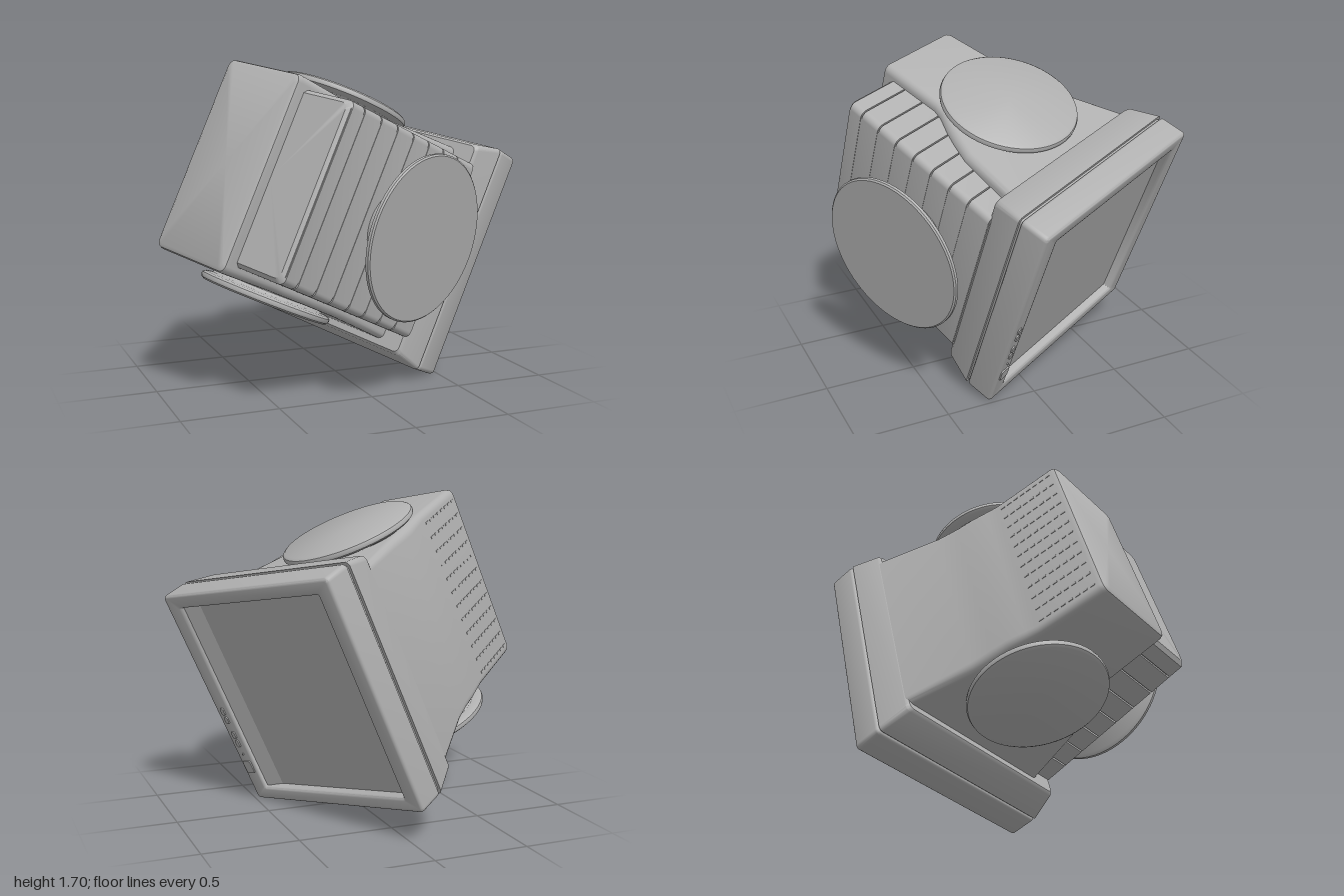
import * as THREE from 'three';
import { mergeGeometries, toCreasedNormals } from 'three/addons/utils/BufferGeometryUtils.js';

const CREASE = 0.6;

// Counter-clockwise outline of a rounded rectangle
function roundedRing(hx, yb, yt, r, steps = 5) {
  const pts = [];
  const corners = [[hx - r, yt - r], [-hx + r, yt - r], [-hx + r, yb + r], [hx - r, yb + r]];
  corners.forEach(([cx, cy], k) => {
    for (let i = 0; i <= steps; i++) {
      const a = (k + i / steps) * Math.PI / 2;
      pts.push([cx + r * Math.cos(a), cy + r * Math.sin(a)]);
    }
  });
  return pts;
}

// Closed skin over sections [z, halfWidth, yBottom, yTop, radius], ordered by rising z
function loft(sections) {
  const pos = [], idx = [];
  let n = 0;
  for (const [z, hx, yb, yt, r] of sections) {
    const ring = roundedRing(hx, yb, yt, r);
    n = ring.length;
    ring.forEach(([x, y]) => pos.push(x, y, z));
  }
  const last = sections.length - 1;
  for (let i = 0; i < last; i++) {
    for (let j = 0; j < n; j++) {
      const k = (j + 1) % n, a = i * n + j, b = i * n + k;
      idx.push(a, b, b + n, a, b + n, a + n);
    }
  }
  const back = pos.length / 3, front = back + 1;
  for (const s of [sections[0], sections[last]]) pos.push(0, (s[2] + s[3]) / 2, s[0]);
  for (let j = 0; j < n; j++) {
    const k = (j + 1) % n;
    idx.push(back, k, j, front, last * n + j, last * n + k);
  }
  const g = new THREE.BufferGeometry();
  g.setAttribute('position', new THREE.Float32BufferAttribute(pos, 3));
  g.setIndex(idx);
  return toCreasedNormals(g, CREASE);
}

const lathe = (pts) =>
  toCreasedNormals(new THREE.LatheGeometry(pts.map(([x, y]) => new THREE.Vector2(x, y)), 72), CREASE);

const toPath = (ring, PathType) => new PathType(ring.map(([x, y]) => new THREE.Vector2(x, y)));

export function createModel() {
  const grey = new THREE.MeshStandardMaterial({ color: 0xb0b0b0 });
  grey.name = 'grey plastic';
  const model = new THREE.Group();
  model.name = 'monitor';
  const add = (name, geometry) => {
    const mesh = new THREE.Mesh(geometry, grey);
    mesh.name = name;
    model.add(mesh);
    return mesh;
  };

  // Front frame with a window
  const frame = toPath(roundedRing(0.64, -0.603, 0.603, 0.025), THREE.Shape);
  frame.holes.push(toPath(roundedRing(0.56, -0.497, 0.506, 0.006).reverse(), THREE.Path));
  const bevel = 0.016;
  const frameGeo = new THREE.ExtrudeGeometry(frame, {
    depth: 0.155 - 2 * bevel, bevelSize: bevel, bevelThickness: bevel, bevelOffset: -bevel, bevelSegments: 3,
  });
  frameGeo.translate(0, 0, -0.155 + bevel);
  add('bezel', toCreasedNormals(frameGeo, CREASE));

  // Recessed screen with a sloping lower lip
  const profile = [[-0.52, -0.15], [0.525, -0.15], [0.525, -0.048], [-0.4, -0.048], [-0.495, -0.02], [-0.52, -0.02]];
  const screenGeo = new THREE.ExtrudeGeometry(toPath(profile, THREE.Shape), { depth: 1.15, bevelEnabled: false });
  screenGeo.translate(0, 0, -0.575);
  screenGeo.applyMatrix4(new THREE.Matrix4().makeBasis(
    new THREE.Vector3(0, 1, 0), new THREE.Vector3(0, 0, 1), new THREE.Vector3(1, 0, 0)));
  add('screen', screenGeo);

  // Seam and tapering ring behind the bezel
  add('bezelSeam', loft([[-0.2, 0.625, -0.588, 0.588, 0.02], [-0.14, 0.625, -0.588, 0.588, 0.02]]));
  add('bezelRing', loft([
    [-0.335, 0.588, -0.553, 0.553, 0.03],
    [-0.32, 0.602, -0.567, 0.567, 0.03],
    [-0.166, 0.64, -0.603, 0.603, 0.025],
  ]));

  // Upper housing, flaring towards the bezel
  add('upperHousing', loft([
    [-1.405, 0.49, -0.165, 0.305, 0.025],
    [-1.395, 0.508, -0.183, 0.323, 0.035],
    [-1.375, 0.515, -0.19, 0.332, 0.04],
    [-1.02, 0.52, -0.2, 0.368, 0.04],
    [-0.96, 0.522, -0.22, 0.385, 0.045],
    [-0.86, 0.524, -0.28, 0.412, 0.05],
    [-0.78, 0.526, -0.32, 0.424, 0.05],
    [-0.66, 0.53, -0.37, 0.45, 0.045],
    [-0.32, 0.555, -0.435, 0.565, 0.035],
  ]));

  // Lower housing: a core, with side ribs separated by narrow grooves
  const lower = (z, inset, drop) => {
    const t = (z + 1.34) / 1.02;
    return [z, 0.46 + 0.035 * t - inset, -0.5 - 0.08 * t - drop, 0.1, 0.035];
  };
  add('lowerCore', loft([lower(-1.325, 0.016, 0), lower(-0.32, 0.016, 0)]));
  const cuts = [-1.34];
  for (let i = 0; i < 7; i++) cuts.push(-1.235 + 0.128 * i);
  cuts.push(-0.32);
  const ribs = [];
  for (let i = 0; i < cuts.length - 1; i++) {
    const rib = [lower(cuts[i] + (i ? 0.004 : 0.02), 0, 0.002), lower(cuts[i + 1] - 0.004, 0, 0.002)];
    if (!i) rib.unshift(lower(-1.34, 0.02, -0.02));
    ribs.push(loft(rib));
  }
  add('lowerRibs', mergeGeometries(ribs));

  // Round bosses on both sides
  const boss = lathe([[0.3, 0.4], [0.3, 0.525], [0.315, 0.54], [0.35, 0.546], [0.363, 0.556],
    [0.365, 0.568], [0.36, 0.581], [0.346, 0.59], [0, 0.59]]);
  for (const s of [-1, 1]) {
    const mesh = add(s < 0 ? 'rightBoss' : 'leftBoss', boss);
    mesh.rotation.z = -s * Math.PI / 2;
    mesh.position.set(0, 0.075, -0.765);
  }

  // Round pedestal with a flared neck
  const foot = add('pedestal', lathe([[0, -0.74], [0.42, -0.74], [0.428, -0.733], [0.428, -0.718], [0.41, -0.706],
    [0.3, -0.675], [0.24, -0.645], [0.215, -0.61], [0.21, -0.5]]));
  foot.position.z = -0.72;

  // Rows of small vent marks on top
  const marks = [];
  for (let row = 0; row < 12; row++) {
    for (let col = 0; col < 8; col++) {
      const z = -1.35 + col * 0.042;
      const mark = new THREE.BoxGeometry(0.012, 0.006, 0.026);
      mark.rotateX(-0.1);
      mark.translate(-0.456 + row * 0.083, 0.332 + (z + 1.375) * 0.101, z);
      marks.push(mark);
    }
  }
  add('topVents', mergeGeometries(marks));

  // Controls along the lower bezel: power button, lamp and two double keys
  const key = (name, x, w, h, r) => {
    const g = new THREE.ExtrudeGeometry(toPath(roundedRing(w / 2, -h / 2, h / 2, r), THREE.Shape),
      { depth: 0.008, bevelEnabled: false });
    add(name, g).position.set(x, -0.55, -0.001);
  };
  key('powerButton', 0.424, 0.075, 0.06, 0.01);
  key('lamp', 0.34, 0.012, 0.008, 0.003);
  for (const x of [0.27, 0.215, 0.12, 0.065]) key('key', x, 0.045, 0.026, 0.012);

  // Tip the whole monitor into its pose
  const right = new THREE.Vector3(-0.406, -0.913, 0.039).normalize();
  const face = new THREE.Vector3().crossVectors(right, new THREE.Vector3(-0.423, 0.141, -0.895)).normalize();
  const up = new THREE.Vector3().crossVectors(face, right);
  model.quaternion.setFromRotationMatrix(new THREE.Matrix4().makeBasis(right, up, face));
  model.position.set(0.485, 0.68, -0.305);

  const root = new THREE.Group();
  root.name = 'tippedMonitor';
  root.add(model);
  return root;
}
